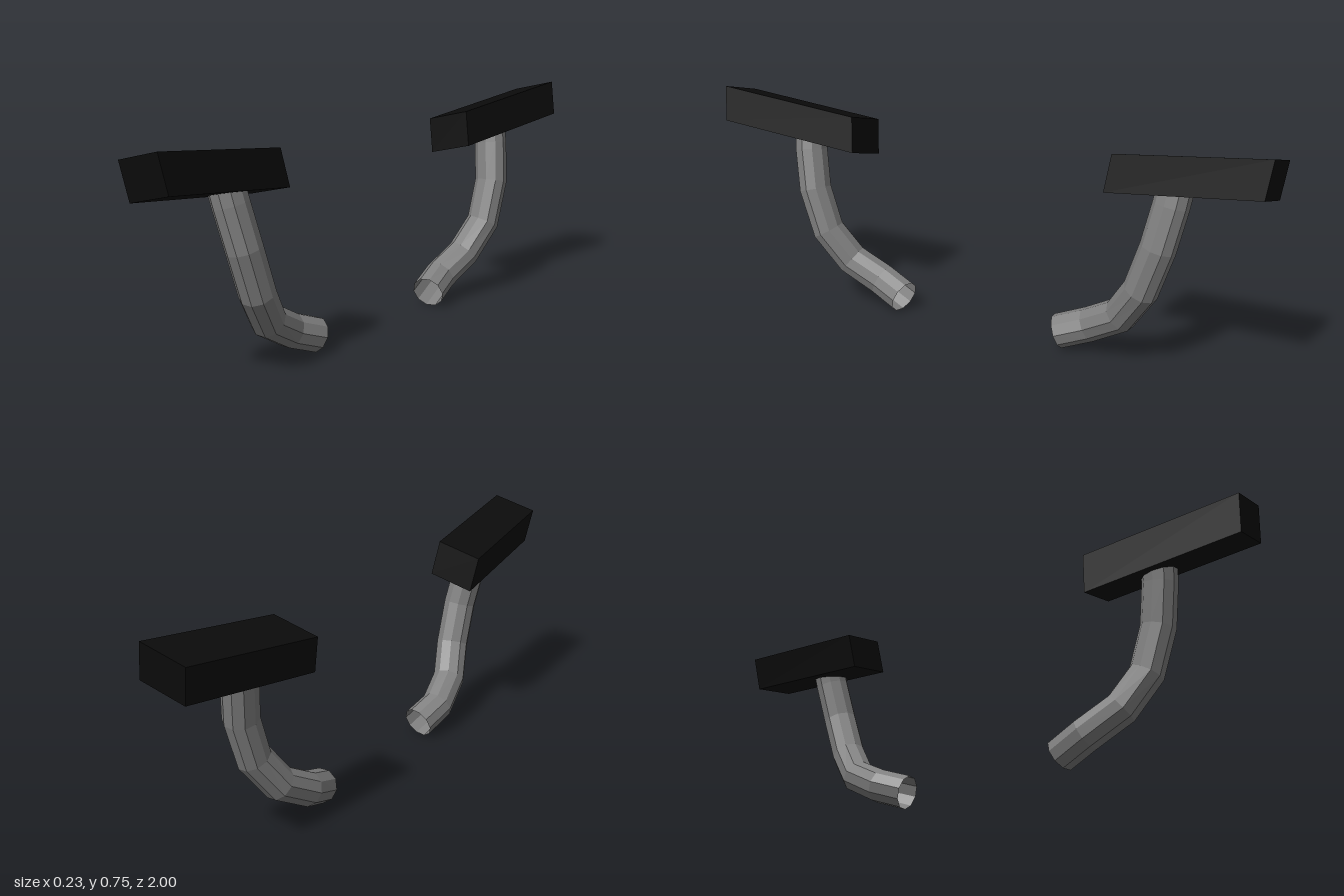
import * as THREE from 'three';

const metal = new THREE.MeshStandardMaterial({ color: 0x808080, flatShading: true, side: THREE.DoubleSide });
const rubber = new THREE.MeshStandardMaterial({ color: 0x0b0b0b, flatShading: true });

// Polyline whose corners are exactly the rings of the tube
class Bends extends THREE.Curve {
  constructor(points) {
    super();
    this.points = points;
  }
  getPoint(t, target = new THREE.Vector3()) {
    const n = this.points.length - 1;
    const i = Math.min(Math.floor(t * n + 1e-6), n - 1);
    return target.lerpVectors(this.points[i], this.points[i + 1], t * n - i);
  }
  getPointAt(u, target) {
    return this.getPoint(u, target);
  }
  // Mean direction of the two segments meeting at a corner
  getTangentAt(u, target = new THREE.Vector3()) {
    const p = this.points, n = p.length - 1, i = Math.round(u * n);
    target.set(0, 0, 0);
    if (i > 0) target.add(p[i].clone().sub(p[i - 1]).normalize());
    if (i < n) target.add(p[i + 1].clone().sub(p[i]).normalize());
    return target.normalize();
  }
}

const path = [
  [0.018, 0.055, 0.303], [-0.001, 0.093, 0.405], [0.018, 0.158, 0.522], [0.05, 0.268, 0.6],
  [0.05, 0.415, 0.65], [0.027, 0.55, 0.677], [0.015, 0.605, 0.684],
];

// One bent arm with its pad; side is +1 at the front, -1 at the back
function createPedal(side) {
  const pedal = new THREE.Group();
  pedal.name = side > 0 ? 'frontPedal' : 'backPedal';

  // Open-ended ten-sided arm
  const bends = new Bends(path.map(([x, y, z]) => new THREE.Vector3(x, y, z * side)));
  const arm = new THREE.Mesh(new THREE.TubeGeometry(bends, path.length - 1, 0.058, 10, false), metal);
  arm.name = 'arm';

  // Tilted, slightly skewed pad: width, height and length edges
  const frame = new THREE.Matrix4().makeBasis(
    new THREE.Vector3(0.16, 0.04, 0),
    new THREE.Vector3(-0.023, 0.12, 0.014 * side),
    new THREE.Vector3(0.045 * side, 0.063 * side, 0.516)
  ).setPosition(0, 0.643, 0.735 * side);
  const pad = new THREE.Mesh(new THREE.BoxGeometry(1, 1, 1).applyMatrix4(frame), rubber);
  pad.name = 'pad';

  pedal.add(arm, pad);
  return pedal;
}

export function createModel() {
  const model = new THREE.Group();
  model.name = 'pedalPair';
  for (const side of [1, -1]) model.add(createPedal(side));
  return model;
}
